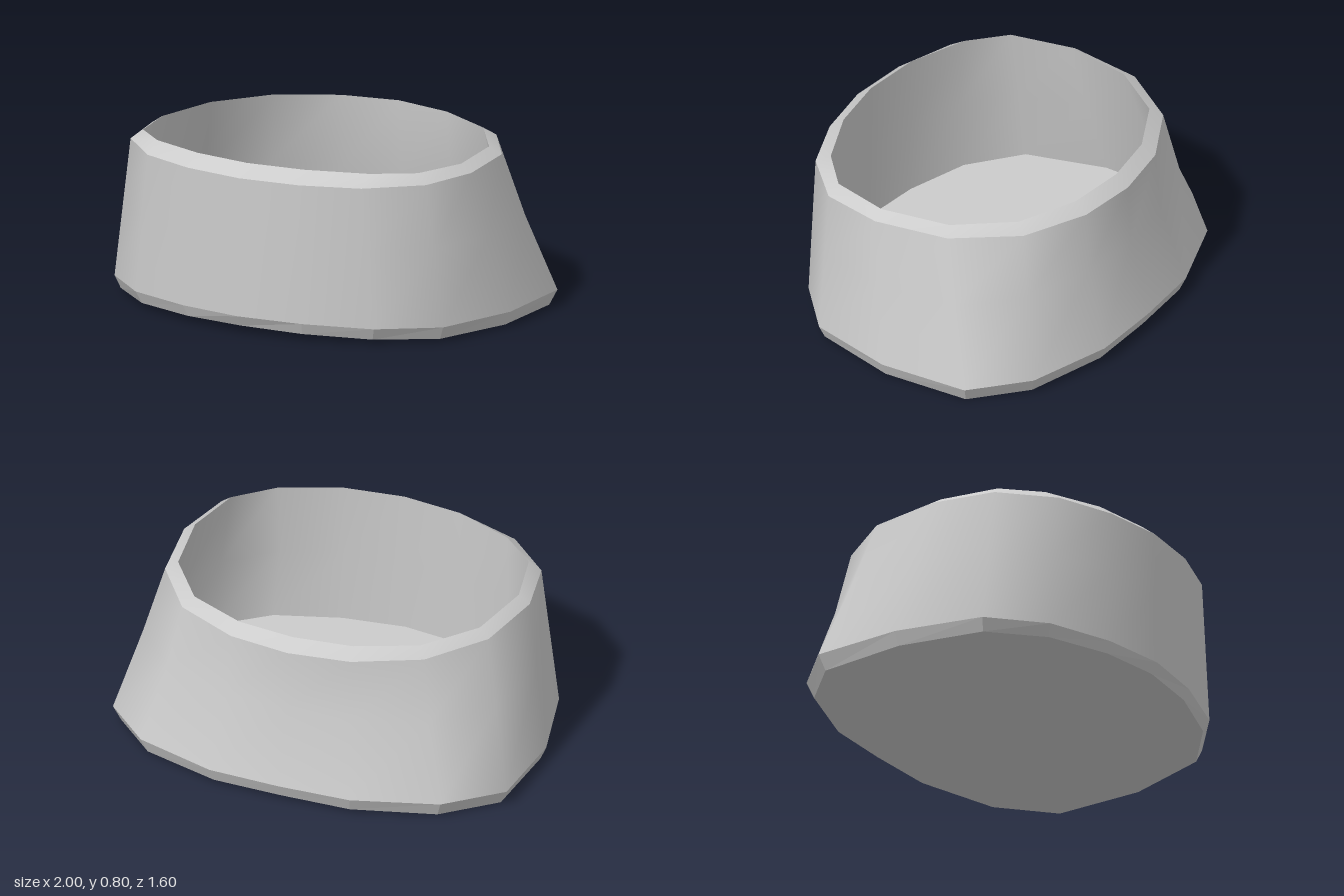
import * as THREE from 'three';

// Half outlines from the back centre, round the left side, to the front centre: [x, y, z]
const foot = [[0, 0.02, -0.77], [0.34, 0.015, -0.755], [0.725, 0.005, -0.625], [0.95, 0, -0.405], [0.972, 0.005, 0.02],
  [0.865, 0.013, 0.42], [0.625, 0.022, 0.625], [0.31, 0.03, 0.735], [0, 0.035, 0.77]];
const base = [[0, 0.085, -0.8], [0.35, 0.083, -0.785], [0.75, 0.078, -0.65], [0.985, 0.073, -0.42], [1, 0.07, 0.02],
  [0.89, 0.074, 0.435], [0.645, 0.079, 0.647], [0.32, 0.084, 0.757], [0, 0.086, 0.8]];
const rim = [[0, 0.743, -0.69], [0.3, 0.743, -0.65], [0.605, 0.743, -0.5], [0.81, 0.743, -0.215], [0.865, 0.743, 0.145],
  [0.8, 0.743, 0.44], [0.58, 0.743, 0.65], [0.3, 0.743, 0.75], [0, 0.743, 0.787]];
const lip = [[0, 0.793, -0.625], [0.285, 0.788, -0.585], [0.565, 0.782, -0.45], [0.755, 0.778, -0.19], [0.81, 0.78, 0.145],
  [0.745, 0.788, 0.42], [0.575, 0.795, 0.57], [0.29, 0.8, 0.68], [0, 0.8, 0.715]];

// Waist between base and rim, pulled in at the back
const pull = [0.86, 0.82, 0.64, 0.58, 0.55, 0.55, 0.55, 0.55, 0.55];
const waist = base.map(([x, y, z], i) => {
  const [rx, ry, rz] = rim[i];
  return [x + (rx - x) * pull[i], y + (ry - y) * 0.55, z + (rz - z) * pull[i]];
});

// Copy of an outline moved in by the wall thickness, optionally at a fixed height
const inset = (half, level) => half.map(([x, y, z]) => [x * 0.935, level ?? y, z * 0.908]);
const centre = (y) => foot.map(() => [0, y, 0]);

// Mirror a half outline into a closed ring
const ring = (half) => [...half, ...half.slice(1, -1).reverse().map(([x, y, z]) => [-x, y, z])];

// Skin a run of outlines, each pair joined by a band of quads
function skin(name, halves, flat = false) {
  const rings = halves.map(ring);
  const n = rings[0].length;
  const index = [];
  for (let r = 0; r < rings.length - 1; r++) {
    for (let i = 0; i < n; i++) {
      const j = (i + 1) % n, a = r * n, b = a + n;
      index.push(a + i, b + i, a + j, a + j, b + i, b + j);
    }
  }
  const geometry = new THREE.BufferGeometry();
  geometry.setAttribute('position', new THREE.Float32BufferAttribute(rings.flat(2), 3));
  geometry.setIndex(index);
  geometry.computeVertexNormals();
  const mesh = new THREE.Mesh(geometry, new THREE.MeshStandardMaterial({ color: 0xcccccc, flatShading: flat }));
  mesh.name = name;
  return mesh;
}

export function createModel() {
  const model = new THREE.Group();
  model.name = 'bowl';
  const floor = inset(base, 0.09);
  model.add(
    skin('underside', [centre(0.015), foot]),
    skin('baseBevel', [foot, base], true),
    skin('outerWall', [base, waist, rim]),
    skin('rimBevel', [rim, lip]),
    skin('innerWall', [lip, inset(waist), floor]),
    skin('floor', [floor, centre(0.09)], true),
  );
  return model;
}
